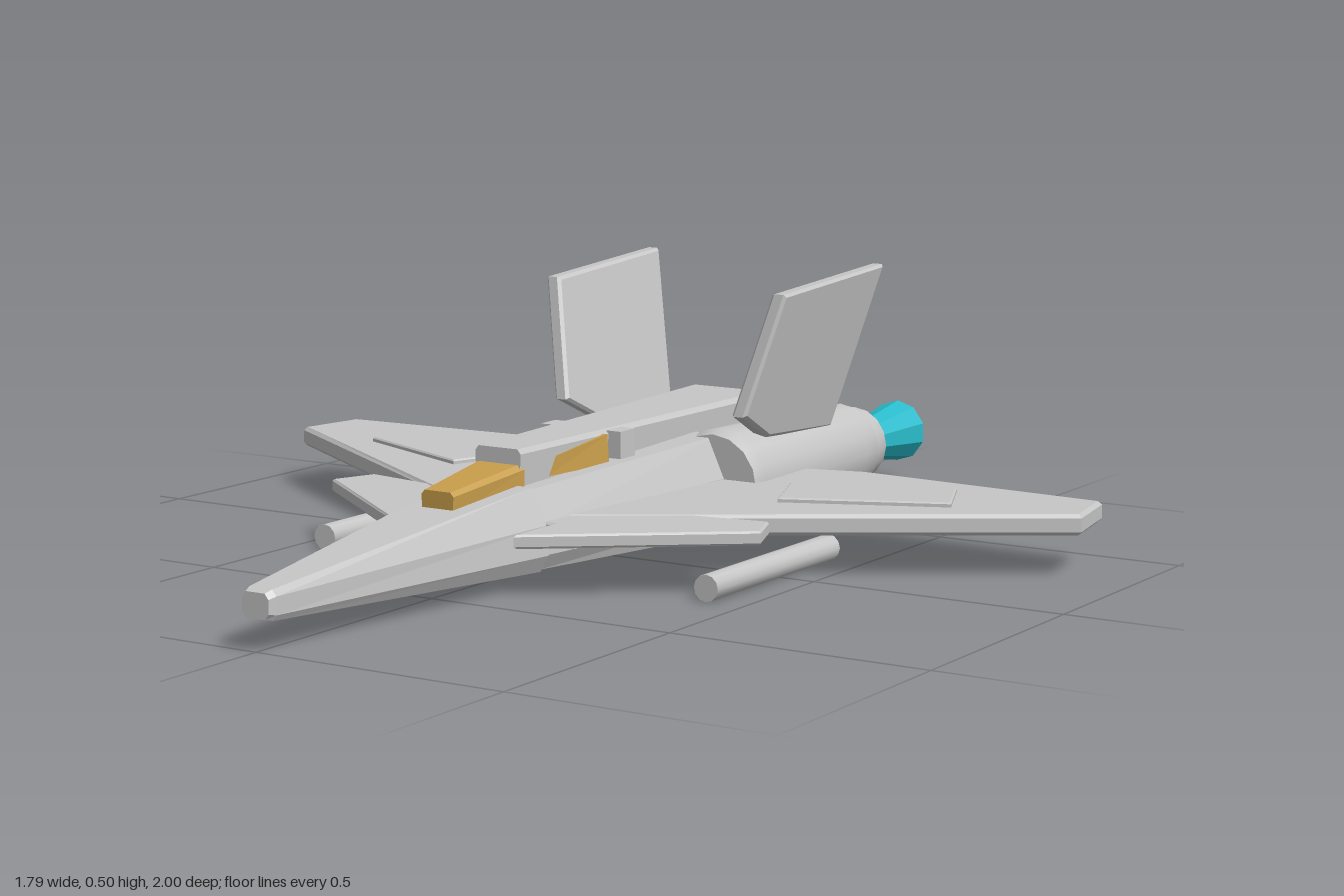
import * as THREE from 'three';
import { toCreasedNormals } from 'three/addons/utils/BufferGeometryUtils.js';

export function createModel() {
  const model = new THREE.Group();
  model.name = 'jetFighter';
  const mat = (name, color) => {
    const m = new THREE.MeshStandardMaterial({ color });
    m.name = name;
    return m;
  };
  const grey = mat('hullGrey', 0xc6c6c6);
  const gold = mat('canopyGold', 0xc89e4c);
  const teal = mat('exhaustTeal', 0x2abccc);

  const add = (name, geometry, material = grey) => {
    const mesh = new THREE.Mesh(geometry, material);
    mesh.name = name;
    model.add(mesh);
    return mesh;
  };

  // Faceted solid through cross-sections [z, outline], listed front to back;
  // outlines run counter-clockwise as seen from the front.
  const loft = (sections) => {
    const pos = [];
    const rings = sections.map(([z, pts]) => pts.map(([x, y]) => [x, y, z]));
    const tri = (a, b, c) => pos.push(...a, ...b, ...c);
    const n = rings[0].length;
    for (let r = 0; r < rings.length - 1; r++) {
      for (let i = 0; i < n; i++) {
        const j = (i + 1) % n, f = rings[r], k = rings[r + 1];
        tri(f[i], k[i], k[j]);
        tri(f[i], k[j], f[j]);
      }
    }
    const first = rings[0], last = rings[rings.length - 1];
    for (let i = 1; i < n - 1; i++) {
      tri(first[0], first[i], first[i + 1]);
      tri(last[0], last[i + 1], last[i]);
    }
    const g = new THREE.BufferGeometry();
    g.setAttribute('position', new THREE.Float32BufferAttribute(pos, 3));
    g.computeVertexNormals();
    return g;
  };

  // Symmetric outline from right-hand half points [halfWidth, y], bottom to top
  const sym = (...half) => [...half, ...half.map(([x, y]) => [-x, y]).reverse()];

  // Bevelled slab of the given outline, lying between depth 0 and t
  const slab = (pts, t, b) => {
    const g = new THREE.ExtrudeGeometry(
      new THREE.Shape(pts.map((p) => new THREE.Vector2(...p))),
      { depth: t - 2 * b, bevelEnabled: b > 0, bevelSize: b, bevelThickness: b, bevelOffset: -b, bevelSegments: 1 });
    return g.translate(0, 0, b);
  };
  // Horizontal plate from [x, z] points, mirrored by side s
  const plate = (pts, s, y0, y1, b) =>
    slab(pts.map(([x, z]) => [s * x, -z]), y1 - y0, b).rotateX(-Math.PI / 2).translate(0, y0, 0);

  // Fuselage: tapering nose and widening centre body
  add('nose', loft([
    [1.0, sym([0.02, 0.065], [0.028, 0.075], [0.028, 0.1], [0.02, 0.11])],
    [0.985, sym([0.027, 0.062], [0.033, 0.072], [0.033, 0.104], [0.024, 0.115])],
    [0.3, sym([0.1, 0.033], [0.118, 0.065], [0.113, 0.12], [0.082, 0.187])],
  ]));
  add('body', loft([
    [0.302, sym([0.095, 0.036], [0.112, 0.065], [0.108, 0.12], [0.077, 0.182])],
    [-0.28, sym([0.16, 0.018], [0.175, 0.06], [0.168, 0.13], [0.132, 0.208])],
  ]));

  // Raised spine running back between the engines
  add('spine', loft([
    [0.29, sym([0.048, 0.18], [0.05, 0.243], [0.043, 0.252])],
    [-0.53, sym([0.086, 0.198], [0.088, 0.246], [0.079, 0.256])],
    [-0.54, sym([0.08, 0.204], [0.081, 0.24], [0.074, 0.248])],
  ]));

  // Front canopy
  add('canopy', loft([
    [0.48, sym([0.033, 0.155], [0.035, 0.192], [0.028, 0.2])],
    [0.28, sym([0.052, 0.175], [0.052, 0.214], [0.044, 0.224])],
  ]), gold);

  for (const s of [1, -1]) {
    const side = s > 0 ? 'left' : 'right';

    // Wedge window on the spine flank, with an intake block behind it
    const wedge = loft([
      [0.205, [[0.03, 0.19], [0.052, 0.19], [0.052, 0.222], [0.03, 0.222]]],
      [0.03, [[0.03, 0.19], [0.074, 0.19], [0.07, 0.246], [0.03, 0.246]]],
    ].map(([z, p]) => [z, s > 0 ? p : p.map(([x, y]) => [-x, y]).reverse()]));
    add(side + 'SideWindow', wedge, gold);
    add(side + 'WindowBlock', new THREE.BoxGeometry(0.032, 0.052, 0.05)).position.set(s * 0.074, 0.224, -0.01);

    // Main wing, raised wing panel and forward canard
    add(side + 'Wing', plate(
      [[0.1, 0.235], [0.897, -0.288], [0.87, -0.435], [0.35, -0.468], [0.1, -0.4]], s, 0.088, 0.128, 0.007));
    add(side + 'WingPanel', plate(
      [[0.37, -0.09], [0.665, -0.22], [0.598, -0.375], [0.305, -0.255]], s, 0.12, 0.137, 0.003));
    add(side + 'Canard', plate(
      [[0.13, 0.43], [0.48, 0.16], [0.445, 0.07], [0.1, 0.13], [0.1, 0.3], [0.13, 0.3]], s, 0.1, 0.126, 0.004));

    // Rod slung below the wing
    const rod = new THREE.CylinderGeometry(0.025, 0.025, 0.445, 12).rotateX(Math.PI / 2);
    add(side + 'Rod', toCreasedNormals(rod, 0.7)).position.set(s * 0.425, 0.033, 0.035);

    // Engine with stepped nozzle, profile from front to back
    const profile = [[0, 0.24], [0.098, 0.24], [0.106, 0.27], [0.096, 0.69], [0.09, 0.75], [0.082, 0.752],
      [0.075, 0.81], [0.058, 0.81], [0.05, 0.79], [0, 0.79]];
    const engine = new THREE.LatheGeometry(profile.map(([r, d]) => new THREE.Vector2(r, d)), 16);
    engine.rotateX(-Math.PI / 2);
    add(side + 'Engine', toCreasedNormals(engine, 0.5)).position.set(s * 0.138, 0.116, 0);

    // Faceted exhaust flame flaring backwards
    const flame = new THREE.CylinderGeometry(0.03, 0.064, 0.21, 10).rotateX(Math.PI / 2).toNonIndexed();
    flame.computeVertexNormals();
    add(side + 'Flame', flame, teal).position.set(s * 0.138, 0.116, -0.895);

    // Tail fin, sheared outward with height
    const fin = slab([[0.225, 0.255], [0.34, 0.2], [0.595, 0.185], [0.665, 0.512], [0.28, 0.49]], 0.032, 0.006)
      .translate(0, 0, -0.016).rotateY(Math.PI / 2);
    const p = fin.attributes.position;
    for (let i = 0; i < p.count; i++) p.setX(i, p.getX(i) + s * (0.19 + 0.24 * (p.getY(i) - 0.2)));
    fin.computeVertexNormals();
    add(side + 'TailFin', fin);
  }
  return model;
}
